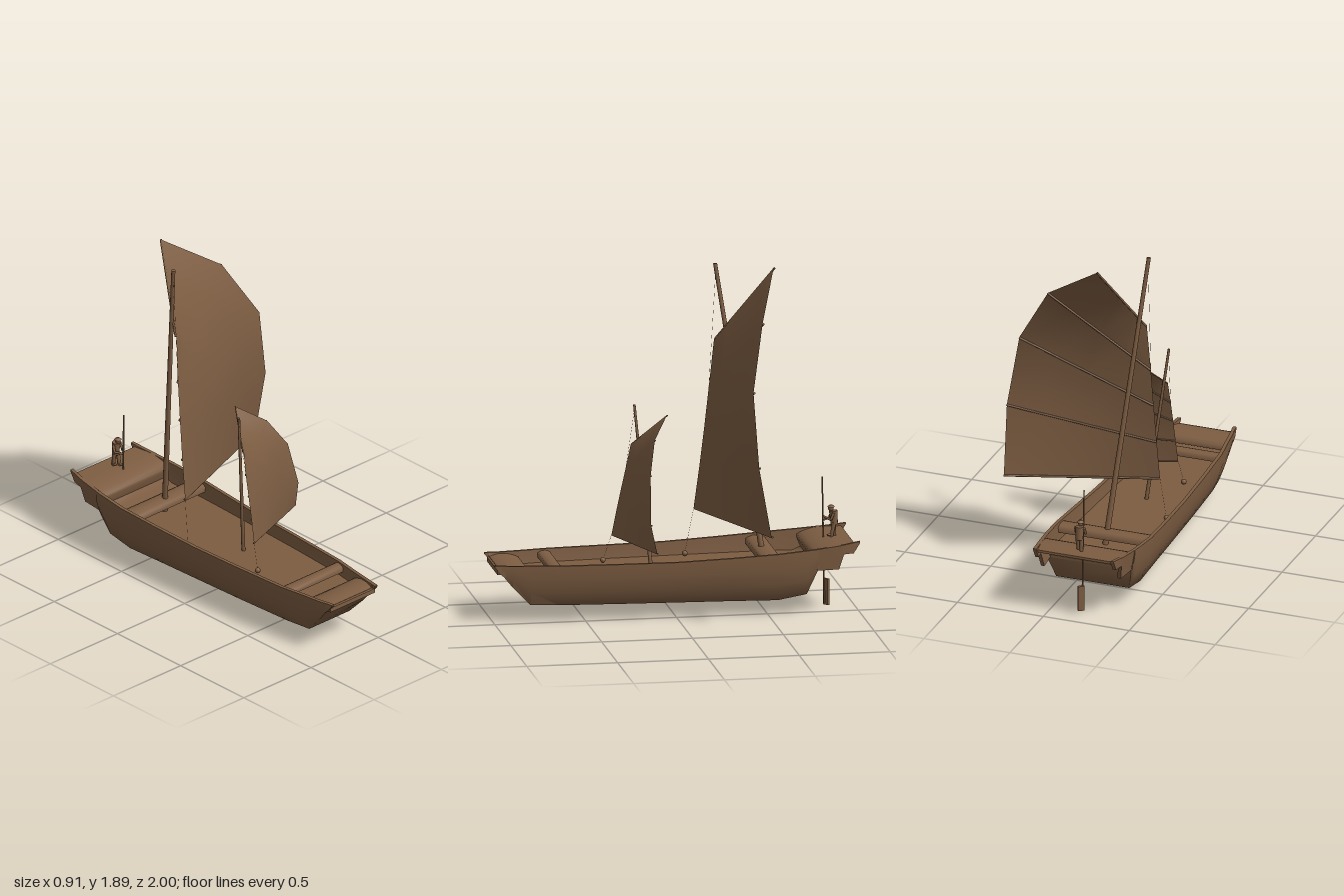
import * as THREE from 'three';
import { toCreasedNormals } from 'three/addons/utils/BufferGeometryUtils.js';

const wood = new THREE.MeshStandardMaterial({ color: 0x7d5d42, side: THREE.DoubleSide });
wood.name = 'brown wood';
const CX = -0.175; // hull centreline
const FLOOR = 0.25;

// Hull stations from bow to stern: z, half width, top y, bottom y, bottom width ratio
const STATIONS = [
  [0.975, 0.174, 0.325, 0.283, 1], [0.95, 0.178, 0.323, 0.262, 0.97], [0.9, 0.187, 0.322, 0.2, 0.88],
  [0.8, 0.2, 0.322, 0.095, 0.75], [0.65, 0.224, 0.322, 0.093, 0.75], [0.3, 0.246, 0.323, 0.09, 0.75],
  [0, 0.26, 0.325, 0.088, 0.75], [-0.3, 0.273, 0.338, 0.086, 0.75], [-0.55, 0.281, 0.352, 0.083, 0.76],
  [-0.71, 0.272, 0.364, 0.11, 0.78], [-0.765, 0.267, 0.368, 0.245, 0.92],
];
// Side plates that run past the transoms: z, half width, top y, bottom y, bottom width ratio
const BOW_CHEEK = [[1, 0.171, 0.325, 0.318, 1], [0.97, 0.175, 0.325, 0.28, 1], [0.94, 0.18, 0.323, 0.262, 0.98]];
const STERN_WING = [
  [-0.76, 0.267, 0.368, 0.245, 0.92], [-0.885, 0.253, 0.38, 0.245, 0.92], [-0.91, 0.249, 0.383, 0.33, 0.98],
  [-0.965, 0.24, 0.391, 0.332, 0.98], [-1, 0.235, 0.396, 0.388, 1],
];

function mesh(name, geometry) {
  const m = new THREE.Mesh(geometry, wood);
  m.name = name;
  return m;
}

// Skins closed rings (counterclockwise seen from +z) running from +z to -z, with end caps
function loft(rings, crease = 0.6) {
  const pos = [], n = rings[0].length;
  const tri = (...pts) => pts.forEach((p) => pos.push(...p));
  for (let i = 0; i < rings.length - 1; i++) {
    for (let j = 0; j < n; j++) {
      const k = (j + 1) % n, [p, q] = [rings[i], rings[i + 1]];
      tri(p[j], q[j], p[k]);
      tri(p[k], q[j], q[k]);
    }
  }
  const f = rings[0], b = rings[rings.length - 1];
  for (let j = 0; j < n / 2 - 1; j++) {
    const k = j + 1, l = n - 2 - j, m = n - 1 - j;
    tri(f[j], f[k], f[l]); tri(f[j], f[l], f[m]);
    tri(b[j], b[l], b[k]); tri(b[j], b[m], b[l]);
  }
  const g = new THREE.BufferGeometry();
  g.setAttribute('position', new THREE.Float32BufferAttribute(pos, 3));
  return toCreasedNormals(g, crease);
}

// Rectangle ring across the hull in the plane z
const rect = (h, y0, y1, z) => [[CX - h, y0, z], [CX + h, y0, z], [CX + h, y1, z], [CX - h, y1, z]];

// Hull cross-section: outer skin, then steep inner walls and floor
function hullRing([z, h, yt, yb, r]) {
  const floor = Math.min(Math.max(FLOOR, yb + 0.03), yt - 0.02);
  const outer = [[1, 1], [0.66, 0.92], [0.33, 0.55], [0, 0]]
    .map(([t, w]) => [h * (r + (1 - r) * w), yb + (yt - yb) * t]);
  const hi = h - 0.02;
  const inner = [[hi, yt], [hi - 0.002, (yt + floor) / 2], [hi - 0.006, floor], [hi * 0.5, floor]];
  const place = (s) => ([x, y]) => [CX + s * x, y, z];
  return [
    ...outer.map(place(-1)), ...outer.slice().reverse().map(place(1)),
    ...inner.map(place(1)), ...inner.slice().reverse().map(place(-1)),
  ];
}

// Thin plate following the hull side on side s
function sidePlate(name, stations, s) {
  return mesh(name, loft(stations.map(([z, h, yt, yb, r]) => {
    const [a, b, c, d] = [[h * r - 0.02, yb], [h * r, yb], [h, yt], [h - 0.02, yt]];
    return (s > 0 ? [a, b, c, d] : [b, a, d, c]).map(([x, y]) => [CX + s * x, y, z]);
  })));
}

// Plank across the hull between two z positions, its top arched along z
function plank(name, z0, z1, h0, h1, y0, y1, thick, arch) {
  const rings = [0, 0.15, 0.35, 0.65, 0.85, 1].map((t) => {
    const mix = (a, b) => a + (b - a) * t, y = mix(y0, y1);
    return rect(mix(h0, h1), y - thick, y + arch * (1 - (2 * t - 1) ** 2), mix(z0, z1));
  });
  return mesh(name, loft(rings, 1.2));
}

// Round pole between two points
function pole(name, a, b, r0, r1 = r0, sides = 10) {
  const va = new THREE.Vector3(...a), d = new THREE.Vector3(...b).sub(va);
  const m = mesh(name, new THREE.CylinderGeometry(r1, r0, d.length(), sides));
  m.position.copy(va).addScaledVector(d, 0.5);
  m.quaternion.setFromUnitVectors(new THREE.Vector3(0, 1, 0), d.normalize());
  return m;
}

function ball(name, p, r, sx = 1, sy = 1, sz = 1) {
  const m = mesh(name, new THREE.SphereGeometry(r, 12, 8));
  m.position.set(...p);
  m.scale.set(sx, sy, sz);
  return m;
}

// Fan sail between luff and leech points, with battens on its back, sheet rope and halyard
function sail(name, luff, leech, r, foot, head) {
  const g = new THREE.Group();
  g.name = name;
  const cols = 4, pos = [], idx = [];
  luff.forEach((p, i) => {
    for (let c = 0; c <= cols; c++) p.forEach((v, k) => pos.push(v + (leech[i][k] - v) * c / cols));
  });
  for (let i = 0; i < luff.length - 1; i++) {
    for (let c = 0; c < cols; c++) {
      const a = i * (cols + 1) + c, b = a + cols + 1;
      idx.push(a, a + 1, b, a + 1, b + 1, b);
    }
  }
  const geo = new THREE.BufferGeometry();
  geo.setAttribute('position', new THREE.Float32BufferAttribute(pos, 3));
  geo.setIndex(idx);
  geo.computeVertexNormals();
  g.add(mesh(name + 'Cloth', geo));
  const back = ([x, y, z]) => [x, y, z - r];
  luff.forEach((p, i) => g.add(pole(name + 'Batten', back(p), back(leech[i]), r, r, 6)));
  g.add(pole(name + 'Sheet', foot, luff[0], 0.0006, 0.0006, 5));
  g.add(pole(name + 'Halyard', luff[3], head, 0.0006, 0.0006, 5));
  g.add(ball(name + 'Block', foot, 0.015));
  return g;
}

function createBoatman() {
  const g = new THREE.Group();
  g.name = 'boatman';
  const z = -0.89;
  for (const s of [-1, 1]) {
    const x = CX + 0.005 + s * 0.013;
    g.add(pole('leg', [x, 0.37, z + s * 0.012], [x, 0.455, z - 0.005], 0.009, 0.012, 8));
    g.add(ball('foot', [x, 0.388, z + 0.008 + s * 0.012], 0.011, 0.8, 0.6, 1.5));
    g.add(pole('upperArm', [x + s * 0.012, 0.512, z], [x + s * 0.015, 0.475, z + 0.015], 0.008, 0.007, 8));
    g.add(pole('forearm', [x + s * 0.015, 0.475, z + 0.015], [CX + 0.003, 0.48 + s * 0.01, -0.838], 0.007, 0.006, 8));
  }
  g.add(pole('torso', [CX + 0.005, 0.445, z - 0.008], [CX + 0.005, 0.52, z - 0.002], 0.02, 0.023, 10));
  g.add(ball('head', [CX + 0.005, 0.535, z + 0.011], 0.016, 0.9, 1.15, 1));
  g.add(pole('hat', [CX + 0.005, 0.541, z + 0.01], [CX + 0.005, 0.553, z + 0.01], 0.021, 0.008, 10));
  return g;
}

export function createModel() {
  const boat = new THREE.Group();
  boat.name = 'sailingBoat';

  // Hull with side plates that run past both transoms
  boat.add(mesh('hull', loft(STATIONS.map(hullRing), 1.2)));
  for (const s of [-1, 1]) {
    boat.add(sidePlate('bowCheek', BOW_CHEEK, s));
    boat.add(sidePlate('sternWing', STERN_WING, s));
  }

  // Decks and thwarts
  boat.add(plank('bowDeck', 0.985, 0.81, 0.165, 0.187, 0.3, 0.29, 0.025, 0.02));
  boat.add(plank('bowThwart', 0.7, 0.63, 0.2, 0.21, 0.303, 0.303, 0.025, 0.012));
  boat.add(plank('mastThwart', -0.455, -0.56, 0.262, 0.264, 0.322, 0.327, 0.03, 0.015));

  // Stern deck with a hollow counter curving up beneath it: z, half width, bottom y, top y
  const sternDeck = [
    [-0.735, 0.25, 0.32, 0.338], [-0.762, 0.25, 0.25, 0.353], [-0.79, 0.247, 0.3, 0.364],
    [-0.83, 0.242, 0.332, 0.374], [-0.88, 0.235, 0.348, 0.379], [-0.975, 0.222, 0.365, 0.38],
  ];
  boat.add(mesh('sternDeck', loft(sternDeck.map(([z, h, y0, y1]) => rect(h, y0, y1, z)), 1.2)));

  // Masts
  boat.add(pole('mainMast', [-0.17, 0.25, -0.51], [-0.33, 1.885, -0.27], 0.016, 0.011));
  boat.add(pole('foreMast', [-0.168, 0.25, 0.112], [-0.27, 1.13, 0.185], 0.011, 0.007));

  // Sails
  boat.add(sail('mainSail',
    [[-0.35, 0.52, -0.155], [-0.343, 0.75, -0.185], [-0.335, 0.98, -0.212], [-0.328, 1.2, -0.235], [-0.315, 1.47, -0.262]],
    [[0.445, 0.53, -0.445], [0.455, 0.92, -0.375], [0.39, 1.325, -0.355], [0.19, 1.66, -0.44], [-0.145, 1.89, -0.56]],
    0.006, [-0.37, 0.268, -0.11], [-0.327, 1.83, -0.272]));
  boat.add(sail('foreSail',
    [[-0.275, 0.408, 0.31], [-0.27, 0.54, 0.285], [-0.266, 0.67, 0.258], [-0.262, 0.79, 0.232], [-0.255, 0.915, 0.207]],
    [[0.195, 0.404, 0.14], [0.185, 0.56, 0.172], [0.115, 0.82, 0.163], [0, 0.99, 0.12], [-0.145, 1.093, 0.028]],
    0.004, [-0.29, 0.268, 0.355], [-0.268, 1.11, 0.184]));

  // Steering oar with its blade in the water, and the boatman
  boat.add(pole('oarPole', [CX + 0.01, 0.01, -0.842], [CX + 0.003, 0.71, -0.832], 0.005, 0.004, 8));
  const blade = mesh('oarBlade', new THREE.BoxGeometry(0.036, 0.145, 0.014));
  blade.position.set(-0.163, 0.0725, -0.852);
  blade.rotation.y = 0.6;
  boat.add(blade);
  boat.add(createBoatman());
  return boat;
}
